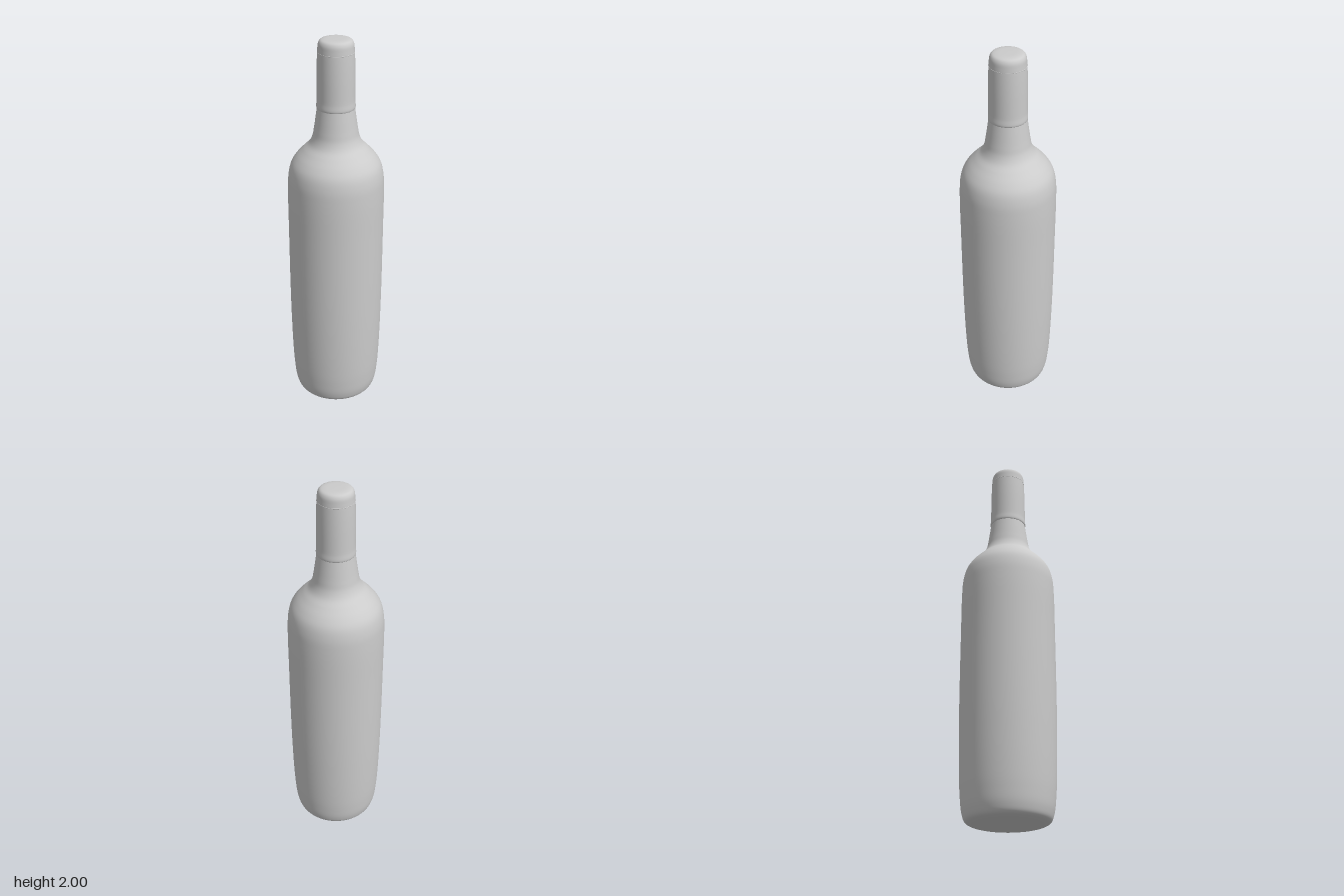
import * as THREE from 'three';

const material = new THREE.MeshStandardMaterial({ color: 0xcccccc });

// Smooth surface of revolution through [radius, height] pairs, listed bottom to top
function turned(name, profile, samples) {
  const curve = new THREE.CatmullRomCurve3(
    profile.map(([r, y]) => new THREE.Vector3(r, y, 0)), false, 'centripetal');
  const points = curve.getPoints(samples).map(p => new THREE.Vector2(Math.max(p.x, 0), p.y));
  points[0].x = profile[0][0];
  points[points.length - 1].x = profile[profile.length - 1][0];
  const mesh = new THREE.Mesh(new THREE.LatheGeometry(points, 64), material);
  mesh.name = name;
  return mesh;
}

export function createModel() {
  const group = new THREE.Group();
  group.name = 'bottle';

  // Glass: gently domed base, slightly tapered body, round shoulder and flared neck
  group.add(turned('glassBody', [
    [0, 0], [0.1, 0.003], [0.18, 0.01], [0.207, 0.022], [0.222, 0.06], [0.232, 0.14],
    [0.238, 0.25], [0.243, 0.45], [0.245, 0.65], [0.245, 1.0], [0.244, 1.23],
    [0.239, 1.31], [0.225, 1.365], [0.2, 1.405], [0.165, 1.443], [0.134, 1.475],
    [0.117, 1.51], [0.109, 1.55], [0.1, 1.61], [0.092, 1.665],
  ], 120));

  // Capsule: thin sleeve over the neck, ending in a soft rounded cap
  group.add(turned('neckCapsule', [
    [0.088, 1.655], [0.095, 1.66], [0.094, 1.7], [0.093, 1.82], [0.091, 1.9], [0.0885, 1.95],
    [0.085, 1.978], [0.076, 1.992], [0.058, 1.998], [0, 2],
  ], 60));

  // Faint ring where the cap meets the sleeve
  const ring = new THREE.Mesh(new THREE.TorusGeometry(0.0885, 0.002, 8, 64), material);
  ring.name = 'capRing';
  ring.rotation.x = Math.PI / 2;
  ring.position.y = 1.935;
  group.add(ring);

  return group;
}
